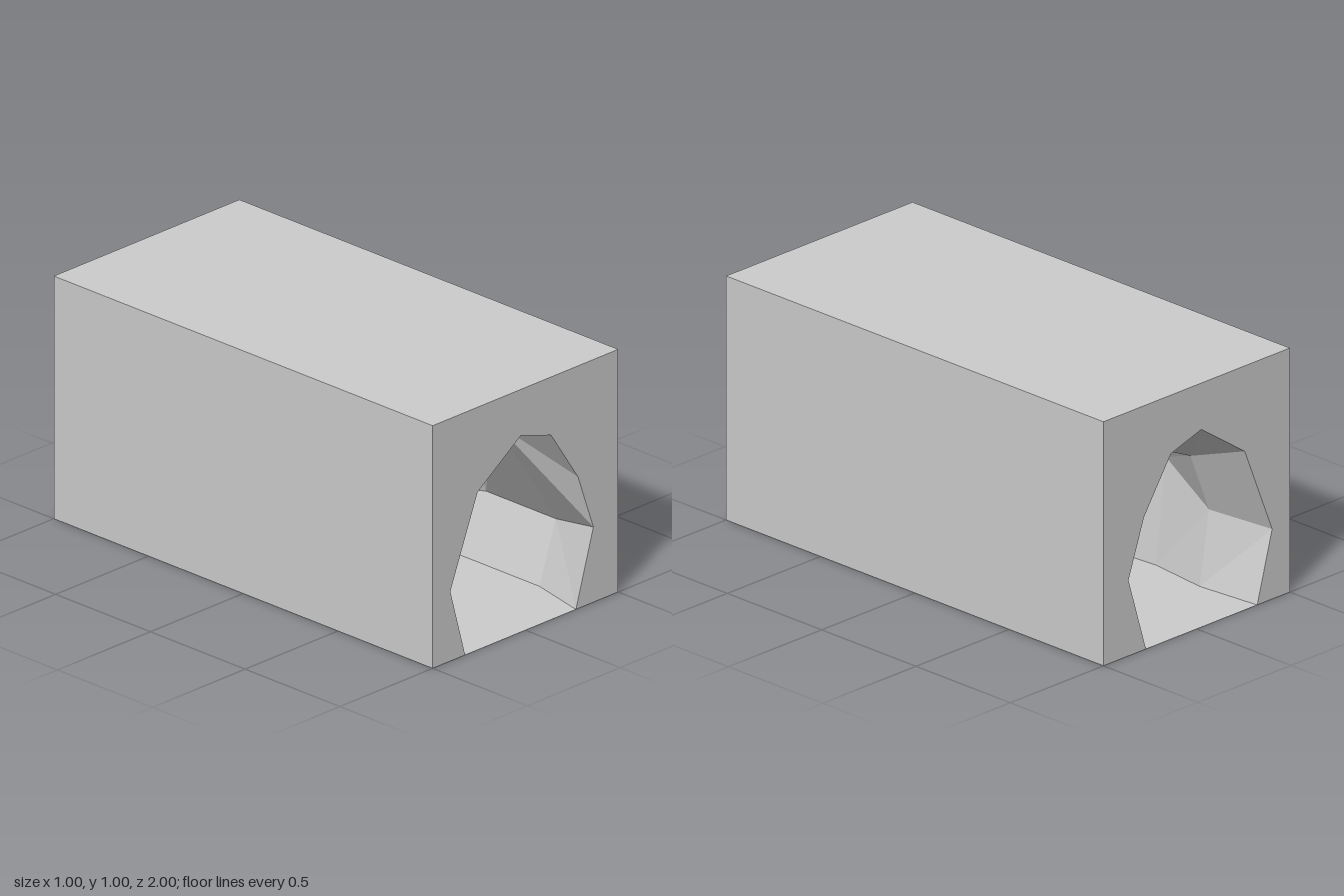
import * as THREE from 'three';

// Cave cross-sections [z, [x, y] ...], from the left foot over the roof to the right foot
const MOUTH = [[-0.325, 0], [-0.405, 0.287], [-0.258, 0.65], [-0.025, 0.81], [0.138, 0.76],
  [0.283, 0.543], [0.366, 0.31], [0.272, 0], [0.272, 0]];
const RINGS = [
  [1, MOUTH],
  [0.75, [[-0.17, 0], [-0.37, 0.255], [-0.155, 0.665], [0.085, 0.755], [0.085, 0.755],
    [0.085, 0.755], [0.085, 0.755], [0.42, 0.25], [0.33, 0]]],
  [0.38, [[-0.15, 0], [-0.28, 0.155], [-0.22, 0.62], [-0.08, 0.68], [0.1, 0.575],
    [0.3, 0.45], [0.38, 0.38], [0.42, 0.25], [0.33, 0]]],
  [-0.05, [[-0.3, 0], [-0.38, 0.3], [-0.28, 0.64], [0, 0.75], [0.15, 0.72],
    [0.3, 0.58], [0.4, 0.35], [0.4, 0.15], [0.32, 0]]],
  [-0.46, [[-0.33, 0], [-0.38, 0.43], [-0.28, 0.62], [0, 0.72], [0.15, 0.71],
    [0.3, 0.55], [0.36, 0.36], [0.22, 0.085], [0.14, 0]]],
  [-0.72, [[-0.3, 0], [-0.35, 0.3], [-0.25, 0.55], [0, 0.665], [0.15, 0.73],
    [0.29, 0.5], [0.26, 0.33], [0.215, 0.18], [0.17, 0]]],
  [-1, MOUTH],
];

// Faceted rock lining through the consecutive cross-sections
function caveGeometry() {
  const rings = RINGS.map(([z, pts]) => pts.map(([x, y]) => new THREE.Vector3(x, y, z)));
  const corners = [];
  const triangle = (a, b, c) => {
    if (!a.equals(b) && !b.equals(c) && !a.equals(c)) corners.push(a, b, c);
  };
  for (let k = 0; k < rings.length - 1; k++) {
    for (let i = 0; i < MOUTH.length - 1; i++) {
      const a = rings[k][i], b = rings[k][i + 1];
      const c = rings[k + 1][i], d = rings[k + 1][i + 1];
      triangle(a, d, b);
      triangle(a, c, d);
    }
  }
  const geometry = new THREE.BufferGeometry().setFromPoints(corners);
  geometry.computeVertexNormals();
  return geometry;
}

export function createModel() {
  const group = new THREE.Group();
  const material = new THREE.MeshStandardMaterial({
    color: 0xcccccc, flatShading: true, side: THREE.DoubleSide,
  });
  const add = (name, geometry) => {
    const mesh = new THREE.Mesh(geometry, material);
    mesh.name = name;
    group.add(mesh);
    return mesh;
  };

  add('caveLining', caveGeometry());

  // End walls with the cave mouth notched out of the bottom edge
  const outline = [[-0.5, 0], ...MOUTH.slice(0, -1), [0.5, 0], [0.5, 1], [-0.5, 1]];
  const endShape = new THREE.Shape(outline.map(([x, y]) => new THREE.Vector2(x, y)));
  for (const [name, z] of [['frontWall', 1], ['backWall', -1]]) {
    add(name, new THREE.ShapeGeometry(endShape)).position.z = z;
  }

  // Long outer sides
  for (const [name, x] of [['leftSide', 0.5], ['rightSide', -0.5]]) {
    const side = add(name, new THREE.PlaneGeometry(2, 1));
    side.position.set(x, 0.5, 0);
    side.rotation.y = Math.sign(x) * Math.PI / 2;
  }

  // Top, and the ground sheet that is also the cave floor
  for (const [name, y, turn] of [['topSide', 1, -1], ['caveFloor', 0, 1]]) {
    const sheet = add(name, new THREE.PlaneGeometry(1, 2));
    sheet.position.y = y;
    sheet.rotation.x = turn * Math.PI / 2;
  }
  return group;
}
